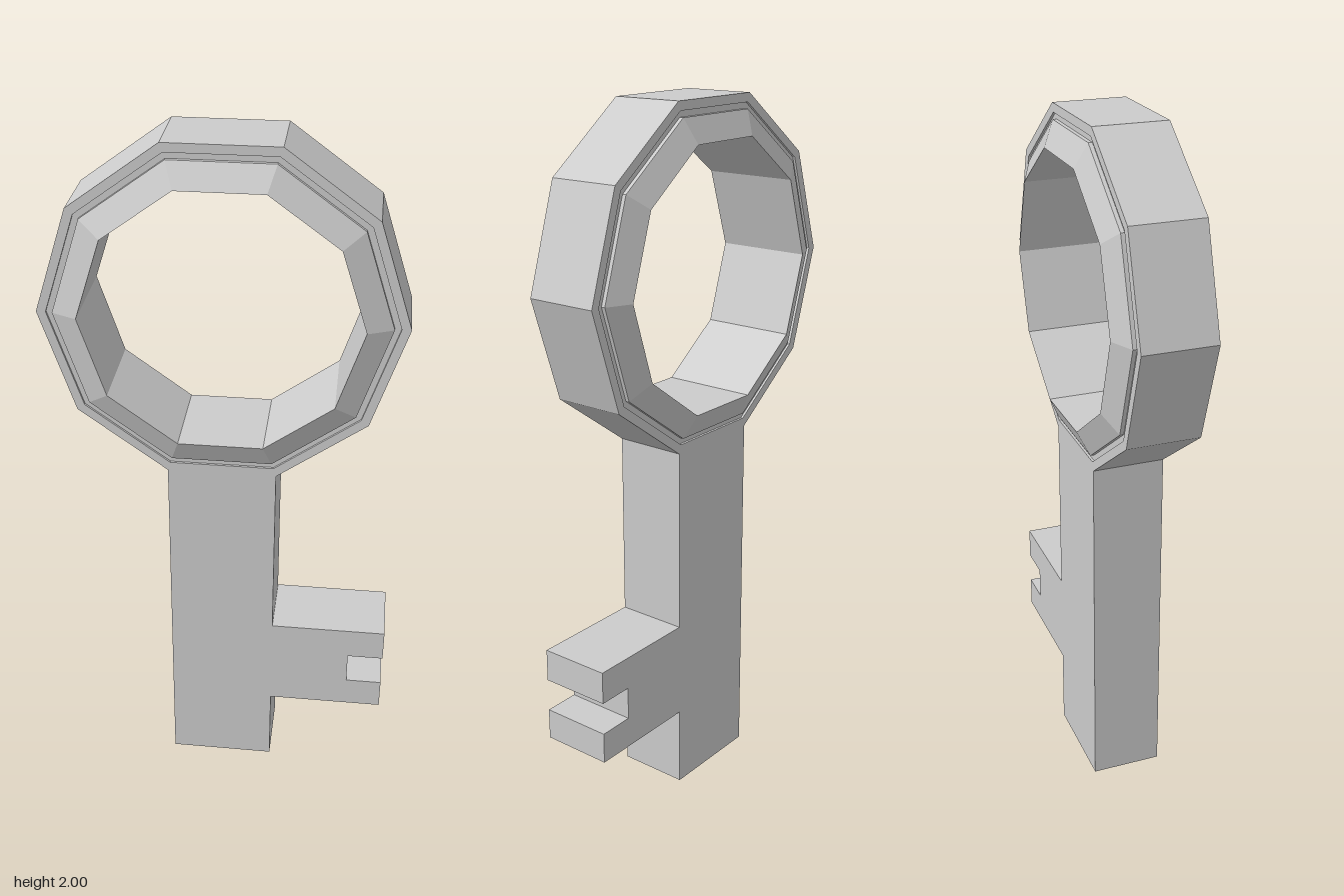
import * as THREE from 'three';

const HALF = 0.104; // half thickness of the shaft and rim
const RING_Y = 1.527; // height of the ring centre

export function createModel() {
  const key = new THREE.Group();
  key.name = 'key';
  const material = new THREE.MeshStandardMaterial({ color: 0xcccccc, flatShading: true });

  // Ten-sided bow: flat rim, fine groove, then a collar sloping up to the hole
  const side = [[0.497, HALF], [0.471, HALF], [0.471, 0.097], [0.453, 0.097], [0.453, 0.108], [0.382, 0.14]];
  const back = side.map(([r, z]) => [r, -z]).reverse();
  const profile = [...back, ...side, back[0]].map(([r, z]) => new THREE.Vector2(r, z));
  const bowGeometry = new THREE.LatheGeometry(profile, 10, Math.PI / 10);
  bowGeometry.rotateX(Math.PI / 2);
  const bow = new THREE.Mesh(bowGeometry, material);
  bow.name = 'bow';
  bow.position.y = RING_Y;
  key.add(bow);

  // Shaft and notched bit cut from one plate
  const outline = [
    [-0.153, 0], [0.153, 0], [0.153, 0.237], [0.49, 0.237], [0.49, 0.328], [0.385, 0.328],
    [0.385, 0.424], [0.49, 0.424], [0.49, 0.519], [0.153, 0.519], [0.153, 1.055], [-0.153, 1.055],
  ].map(([x, y]) => new THREE.Vector2(x, y));
  const shaftGeometry = new THREE.ExtrudeGeometry(new THREE.Shape(outline), { depth: 2 * HALF, bevelEnabled: false });
  shaftGeometry.translate(0, 0, -HALF);
  const shaft = new THREE.Mesh(shaftGeometry, material);
  shaft.name = 'shaftAndBit';
  key.add(shaft);

  return key;
}
